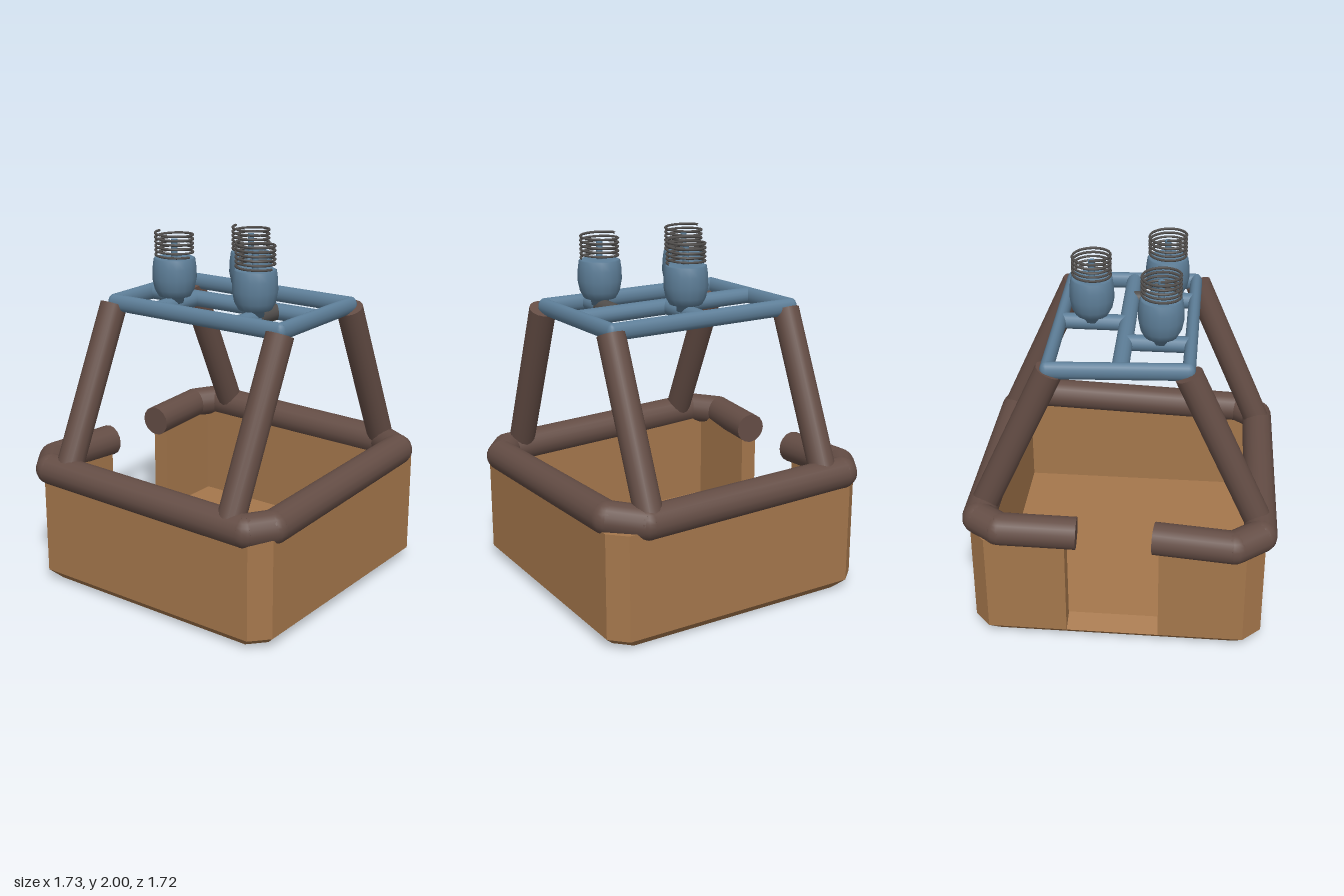
import * as THREE from 'three';
import { ConvexGeometry } from 'three/addons/geometries/ConvexGeometry.js';

const material = (name, color) => Object.assign(new THREE.MeshStandardMaterial({ color }), { name });
const V = (x, y, z) => new THREE.Vector3(x, y, z);

// Round bar between two points; squash narrows it sideways
function bar(name, a, b, r, mat, squash = 1) {
  const dir = b.clone().sub(a);
  const geo = new THREE.CylinderGeometry(r, r, dir.length(), 16);
  const mesh = new THREE.Mesh(geo, mat);
  mesh.name = name;
  mesh.position.copy(a).add(b).multiplyScalar(0.5);
  const yAxis = dir.normalize();
  const xAxis = new THREE.Vector3().crossVectors(yAxis, Math.abs(yAxis.y) > 0.99 ? V(1, 0, 0) : V(0, 1, 0)).normalize();
  const zAxis = new THREE.Vector3().crossVectors(xAxis, yAxis);
  mesh.quaternion.setFromRotationMatrix(new THREE.Matrix4().makeBasis(xAxis, yAxis, zAxis));
  mesh.scale.x = squash;
  return mesh;
}

// Rising spiral wire
class Helix extends THREE.Curve {
  constructor(radius, height, turns) {
    super();
    Object.assign(this, { radius, height, turns });
  }
  getPoint(t, target = new THREE.Vector3()) {
    const a = t * this.turns * Math.PI * 2;
    return target.set(this.radius * Math.cos(a), this.height * t, this.radius * Math.sin(a));
  }
}

export function createModel() {
  const model = new THREE.Group();
  model.name = 'balloonBasket';
  const wicker = material('wicker', 0xa5774c);
  const padding = material('padding', 0x644d45);
  const steel = material('blue steel', 0x5e7f99);
  const wire = material('dark wire', 0x524f4d);

  // Basket floor slab with a bevelled underside and a sloping door sill
  const outer = [[-0.79, 0.7], [-0.69, 0.8], [0.73, 0.8], [0.82, 0.7],
    [0.82, -0.72], [0.73, -0.81], [-0.69, -0.81], [-0.79, -0.72]];
  const slab = [];
  for (const [x, z] of outer) {
    slab.push(V(x * 0.925, 0, z * 0.925), V(x, 0.06, z));
  }
  for (const x of [-0.68, 0.72]) for (const z of [-0.7, 0.7]) slab.push(V(x, 0.1, z));
  const floor = new THREE.Mesh(new ConvexGeometry(slab), wicker);
  floor.name = 'basketFloor';
  model.add(floor);

  // Basket wall, open at the doorway
  const plan = [[-0.79, 0.23], ...outer, [-0.79, -0.28], [-0.69, -0.28],
    [-0.69, -0.7], [0.72, -0.7], [0.72, 0.7], [-0.69, 0.7], [-0.69, 0.23]];
  const wallShape = new THREE.Shape(plan.map(([x, z]) => new THREE.Vector2(x, -z)));
  const wallGeo = new THREE.ExtrudeGeometry(wallShape, { depth: 0.59, bevelEnabled: false });
  wallGeo.rotateX(-Math.PI / 2).translate(0, 0.06, 0);
  const wall = new THREE.Mesh(wallGeo, wicker);
  wall.name = 'basketWall';
  model.add(wall);

  // Padded rim running from one door side round to the other
  const rim = new THREE.Group();
  rim.name = 'paddedRim';
  const path = [V(-0.73, 0.68, 0.2), V(-0.775, 0.68, 0.63), V(-0.66, 0.682, 0.77), V(0.68, 0.647, 0.75),
    V(0.77, 0.652, 0.63), V(0.765, 0.7, -0.64), V(0.6, 0.68, -0.77), V(-0.66, 0.705, -0.765),
    V(-0.745, 0.7, -0.64), V(-0.73, 0.685, -0.22)];
  const rimR = 0.09;
  for (let i = 0; i < path.length - 1; i++) {
    rim.add(bar('rimSection', path[i], path[i + 1], rimR, padding));
    if (i > 0) {
      const joint = new THREE.Mesh(new THREE.SphereGeometry(rimR, 16, 12), padding);
      joint.name = 'rimJoint';
      joint.position.copy(path[i]);
      rim.add(joint);
    }
  }
  model.add(rim);

  // Four leaning posts
  const posts = [[V(-0.54, 0.7, 0.755), V(-0.53, 1.575, 0.355)], [V(0.585, 0.66, 0.755), V(0.605, 1.575, 0.355)],
    [V(-0.54, 0.7, -0.765), V(-0.545, 1.575, -0.365)], [V(0.585, 0.69, -0.77), V(0.575, 1.575, -0.37)]];
  for (const [a, b] of posts) model.add(bar('post', a, b, 0.076, padding));

  // Burner frame
  const frame = new THREE.Group();
  frame.name = 'burnerFrame';
  const y = 1.588;
  const corners = [V(-0.57, y, -0.378), V(0.575, y, -0.383), V(0.6, y, 0.345), V(-0.525, y, 0.355)];
  corners.forEach((c, i) => {
    frame.add(bar('frameBar', c, corners[(i + 1) % 4], 0.048, steel, 0.72));
    const joint = new THREE.Mesh(new THREE.SphereGeometry(0.048, 12, 8), steel);
    joint.name = 'frameJoint';
    joint.position.copy(c);
    joint.scale.set(0.72, 1, 0.72);
    frame.add(joint);
  });
  frame.add(bar('middleBar', V(-0.55, y, 0), V(0.585, y, -0.018), 0.046, steel));
  model.add(frame);

  // Burners: cross bar, can, spiral coil and nozzle
  const profile = [[0, 1.6], [0.05, 1.6], [0.05, 1.635], [0.09, 1.64], [0.112, 1.68], [0.124, 1.74],
    [0.122, 1.8], [0.115, 1.85], [0.105, 1.855], [0, 1.855]].map(([r, h]) => new THREE.Vector2(r, h));
  const canGeo = new THREE.LatheGeometry(profile, 16);
  const coilGeo = new THREE.TubeGeometry(new Helix(0.104, 0.13, 5.5), 132, 0.007, 6);
  const nozzleGeo = new THREE.CylinderGeometry(0.018, 0.018, 0.11, 10);
  for (const [x, z, end, inner] of [[-0.22, 0.19, 0.34, steel], [0.33, 0.19, 0.34, wire], [0.015, -0.205, -0.37, steel]]) {
    const burner = new THREE.Group();
    burner.name = 'burner';
    burner.add(bar('innerSupport', V(x, y, 0), V(x, y, z), 0.045, inner));
    burner.add(bar('outerSupport', V(x, y, z), V(x, y, end), 0.045, steel));
    const add = (name, geo, mat, h) => {
      const mesh = new THREE.Mesh(geo, mat);
      mesh.name = name;
      mesh.position.set(x, h, z);
      burner.add(mesh);
    };
    add('can', canGeo, steel, 0);
    add('coil', coilGeo, wire, 1.863);
    add('nozzle', nozzleGeo, steel, 1.9);
    model.add(burner);
  }
  return model;
}
